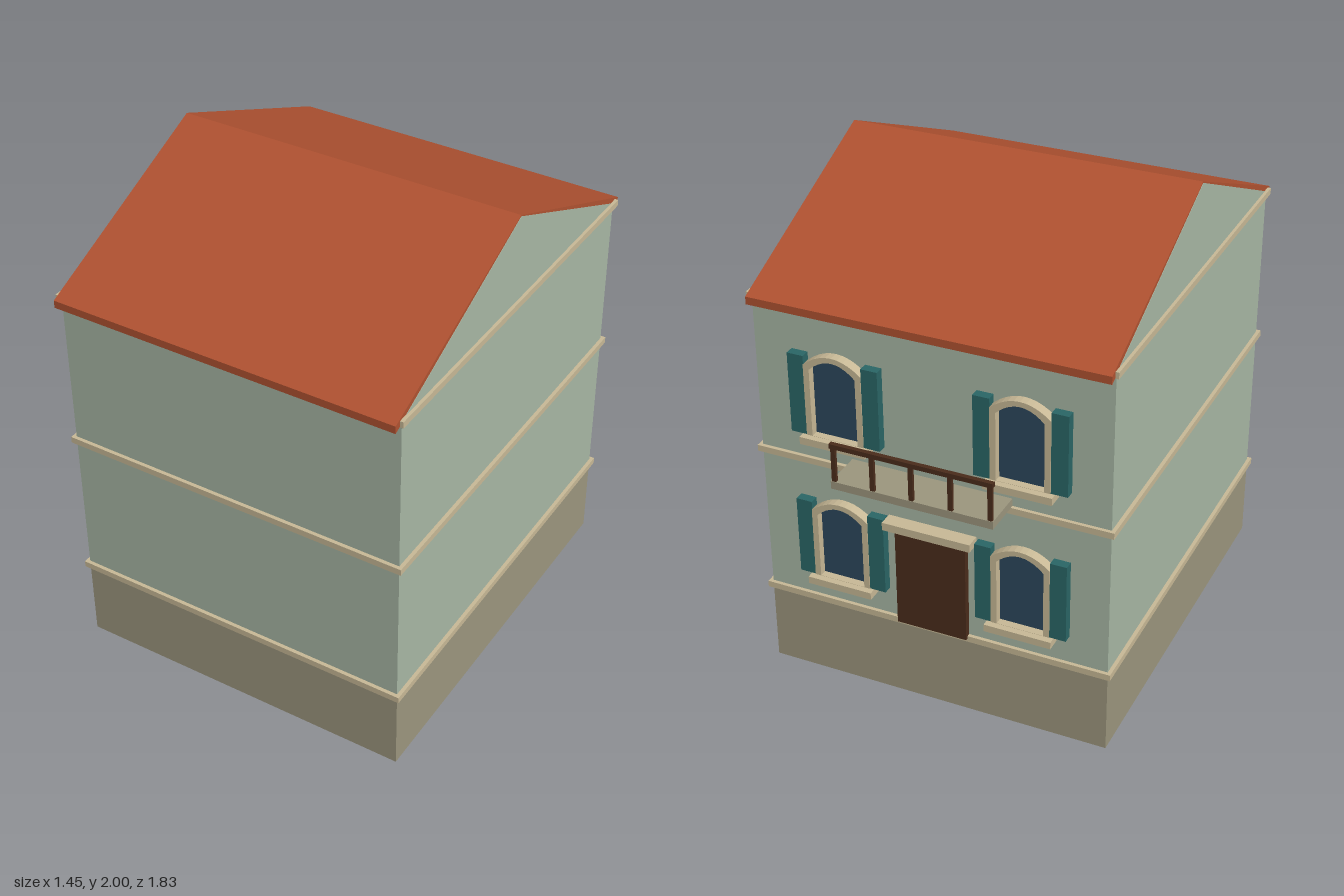
import * as THREE from 'three';

const mat = (name, color) => new THREE.MeshStandardMaterial({ name, color });

export function createModel() {
  const wallPaint = mat('sage wall', 0xa8b8a5);
  const stone = mat('stone', 0x9c967e);
  const trim = mat('cream trim', 0xc8b996);
  const tile = mat('terracotta roof', 0xb05231);
  const teal = mat('teal shutter', 0x2a6666);
  const glass = mat('dark glass', 0x2c475c);
  const wood = mat('dark wood', 0x4a2c1b);

  const house = new THREE.Group();
  house.name = 'house';
  const MID = 0.0625;     // z of the ridge and of the wall block
  const FACE = -0.75;     // z of the decorated wall

  const add = (parent, name, geometry, material) => {
    const m = new THREE.Mesh(geometry, material);
    m.name = name;
    parent.add(m);
    return m;
  };
  // Box given by its limits on each axis
  const box = (parent, name, material, x0, x1, y0, y1, z0, z1) => {
    const m = add(parent, name, new THREE.BoxGeometry(x1 - x0, y1 - y0, z1 - z0), material);
    m.position.set((x0 + x1) / 2, (y0 + y1) / 2, (z0 + z1) / 2);
    return m;
  };
  // Side profile (z from the ridge, y) stretched along x
  const alongX = (name, material, points, half) => {
    const shape = new THREE.Shape(points.map(([z, y]) => new THREE.Vector2(z, y)));
    const g = new THREE.ExtrudeGeometry(shape, { depth: half * 2, bevelEnabled: false });
    g.translate(0, 0, -half).rotateY(Math.PI / 2).translate(0, 0, MID);
    return add(house, name, g, material);
  };

  // Walls, plinth and horizontal bands
  box(house, 'plinth', stone, -0.71, 0.71, 0, 0.35, FACE, 0.875);
  box(house, 'walls', wallPaint, -0.71, 0.71, 0.35, 1.63, FACE, 0.875);
  for (const y of [0.335, 0.965, 1.615]) {
    box(house, 'band', trim, -0.725, 0.725, y, y + 0.026, FACE - 0.015, 0.89);
  }

  // Gable walls and the roof
  alongX('gable', wallPaint, [[-0.8125, 1.63], [0.8125, 1.63], [0, 1.995]], 0.7125);
  alongX('roof', tile, [[-0.855, 1.605], [0, 1.97], [0.855, 1.605],
    [0.855, 1.636], [0, 2], [-0.855, 1.636]], 0.711);

  // Arch-topped outline standing on y = 0
  const arch = (Type, w, spring, rise, y0 = 0) => {
    const s = new Type();
    s.moveTo(-w, y0);
    s.lineTo(w, y0);
    s.lineTo(w, spring);
    s.quadraticCurveTo(0, spring + rise * 2, -w, spring);
    s.lineTo(-w, y0);
    return s;
  };
  const frameShape = arch(THREE.Shape, 0.118, 0.297, 0.05);
  frameShape.holes.push(arch(THREE.Path, 0.094, 0.28, 0.046, 0.001));
  const frameGeo = new THREE.ExtrudeGeometry(frameShape, { depth: 0.04, bevelEnabled: false, curveSegments: 10 });
  const glassGeo = new THREE.ExtrudeGeometry(arch(THREE.Shape, 0.1, 0.285, 0.046),
    { depth: 0.009, bevelEnabled: false, curveSegments: 10 });

  // Four windows with frame, sill and shutters
  for (const x of [-0.372, 0.372]) {
    for (const y of [0.479, 1.109]) {
      const w = new THREE.Group();
      w.name = 'window';
      w.position.set(x, y, FACE);
      add(w, 'windowFrame', frameGeo, trim).position.z = -0.04;
      add(w, 'windowPane', glassGeo, glass).position.z = -0.009;
      box(w, 'sill', trim, -0.135, 0.135, -0.03, 0, -0.066, 0);
      for (const s of [-1, 1]) {
        box(w, 'shutter', teal, s * 0.151 - 0.033, s * 0.151 + 0.033, 0, 0.33, -0.037, 0);
      }
      house.add(w);
    }
  }

  // Door under its lintel
  box(house, 'door', wood, -0.145, 0.145, 0.35, 0.785, FACE - 0.027, FACE);
  box(house, 'doorLintel', trim, -0.18, 0.18, 0.782, 0.815, FACE - 0.06, FACE);

  // Balcony with its railing
  box(house, 'balconyFloor', stone, -0.325, 0.325, 0.99, 1.022, -0.916, FACE);
  box(house, 'handrail', wood, -0.325, 0.325, 1.162, 1.181, -0.917, -0.898);
  for (let i = 0; i < 5; i++) {
    const x = -0.312 + i * 0.156;
    box(house, 'railPost', wood, x - 0.009, x + 0.009, 1.02, 1.165, -0.914, -0.901);
  }
  return house;
}
